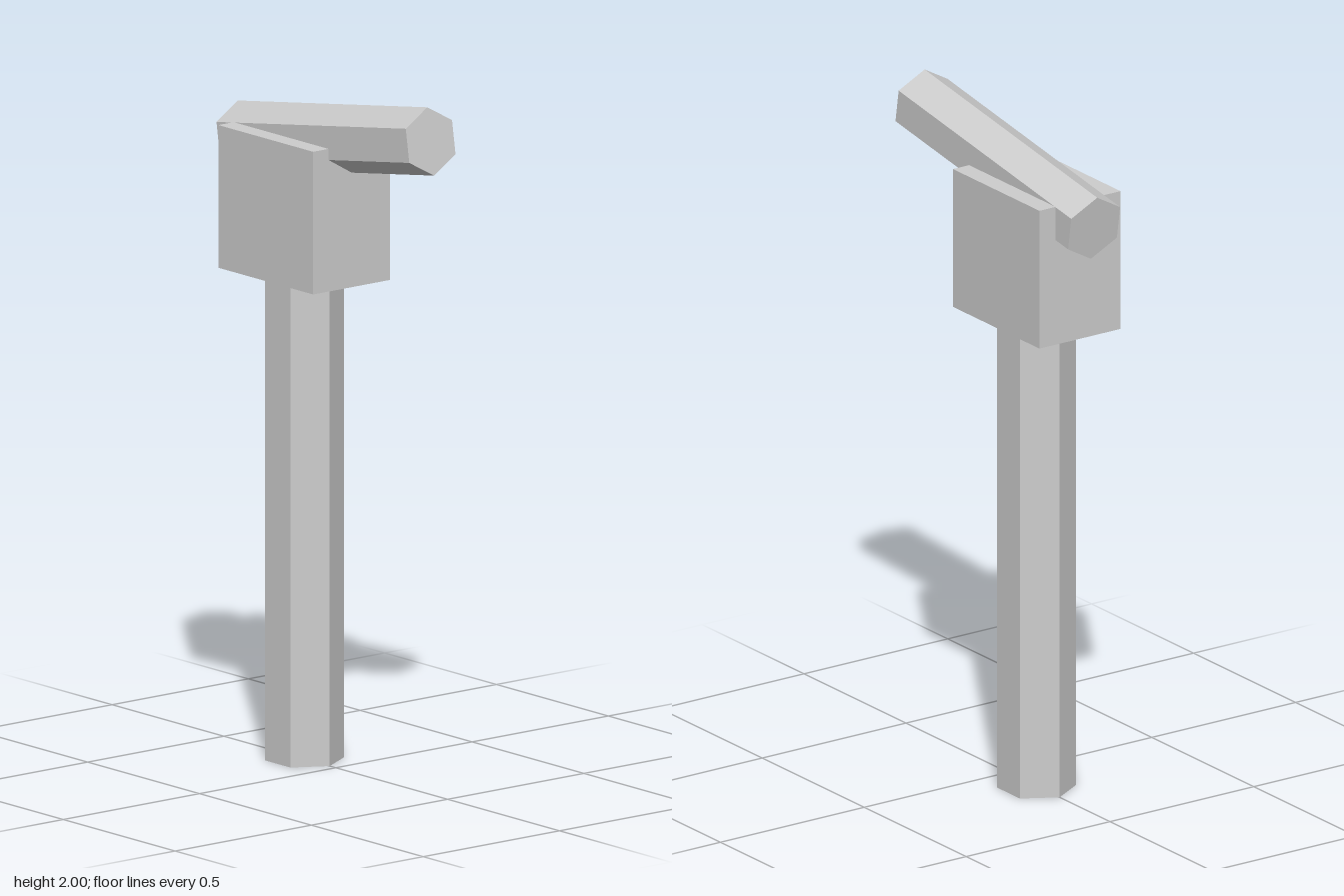
import * as THREE from 'three';

export function createModel() {
  const model = new THREE.Group();
  const grey = new THREE.MeshStandardMaterial({ color: 0xcccccc, flatShading: true });
  grey.name = 'light grey';

  const add = (name, geometry, x, y, z) => {
    const mesh = new THREE.Mesh(geometry, grey);
    mesh.name = name;
    mesh.position.set(x, y, z);
    model.add(mesh);
    return mesh;
  };

  // Upright hexagonal post
  add('post', new THREE.CylinderGeometry(0.113, 0.113, 1.415, 6), 0, 0.7075, -0.14);

  // Block on top of the post
  add('block', new THREE.BoxGeometry(0.282, 0.416, 0.424), 0, 1.622, -0.141);

  // Hexagonal bar lying through the block, front end raised
  const bar = new THREE.CylinderGeometry(0.098, 0.098, 0.857, 6).rotateX(Math.PI / 2);
  add('bar', bar, 0, 1.836, 0.001).rotation.x = THREE.MathUtils.degToRad(-9.1);

  return model;
}
